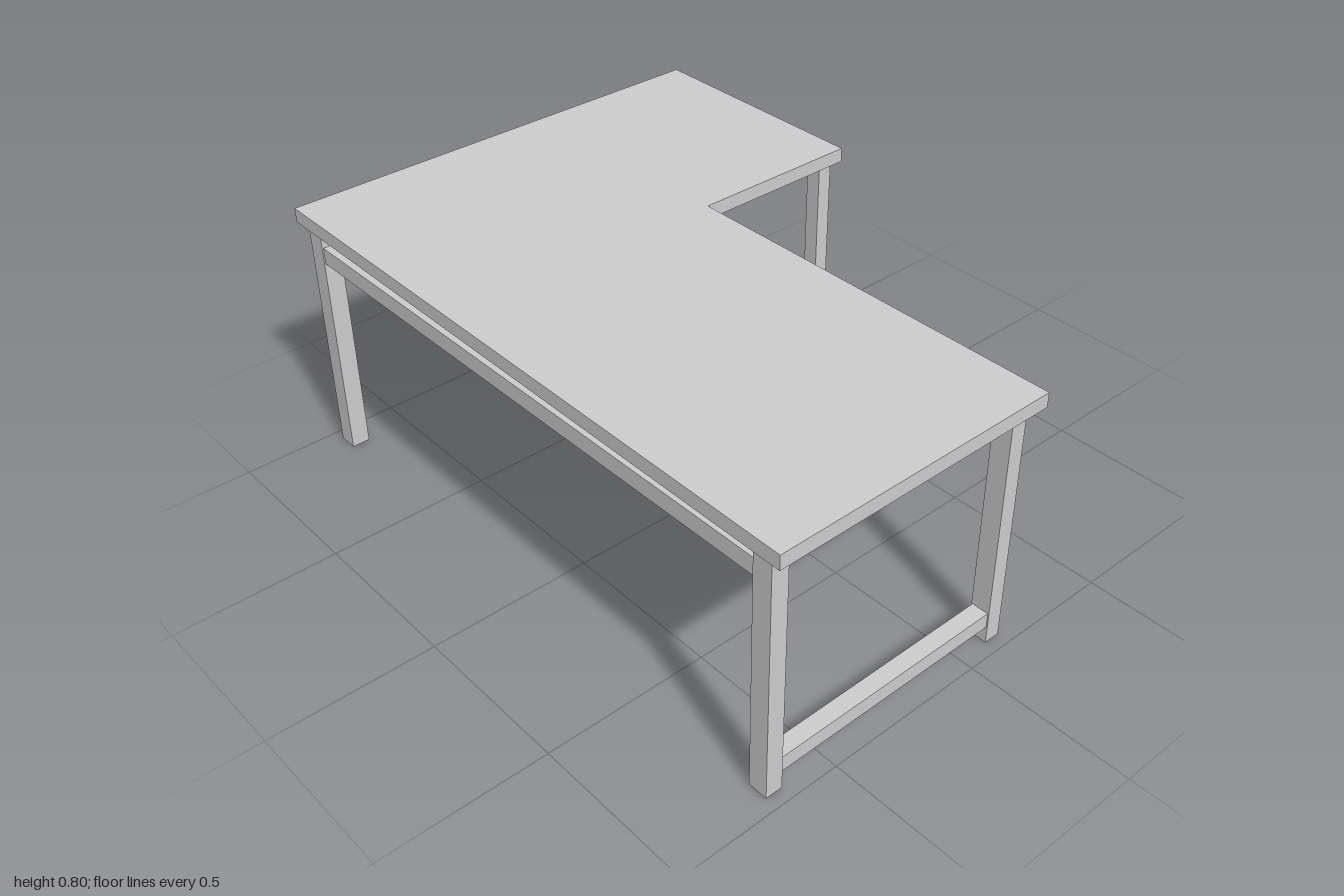
import * as THREE from 'three';

const material = new THREE.MeshStandardMaterial({ color: 0xcccccc });

// Box given by its minimum and maximum corners
function bar(name, x0, x1, y0, y1, z0, z1) {
  const mesh = new THREE.Mesh(new THREE.BoxGeometry(x1 - x0, y1 - y0, z1 - z0), material);
  mesh.position.set((x0 + x1) / 2, (y0 + y1) / 2, (z0 + z1) / 2);
  mesh.name = name;
  return mesh;
}

export function createModel() {
  const desk = new THREE.Group();
  desk.name = 'cornerDesk';
  const underside = 0.756;

  // L-shaped top: outline drawn in x and -z, then laid flat
  const outline = [[-1, 0.713], [1, 0.713], [1, -0.172], [-0.23, -0.172], [-0.23, -0.713], [-1, -0.713]];
  const shape = new THREE.Shape(outline.map(([x, z]) => new THREE.Vector2(x, -z)));
  const topGeometry = new THREE.ExtrudeGeometry(shape, { depth: 0.8 - underside, bevelEnabled: false });
  topGeometry.rotateX(-Math.PI / 2);
  const top = new THREE.Mesh(topGeometry, material);
  top.position.y = underside;
  top.name = 'deskTop';
  desk.add(top);

  // Square legs: x range, z range
  const legs = {
    frontLeftLeg: [0.9, 0.96, 0.645, 0.697],
    frontRightLeg: [-0.962, -0.901, 0.641, 0.697],
    rearLeftLeg: [0.9, 0.96, -0.15, -0.1],
    innerCornerLeg: [-0.31, -0.26, -0.15, -0.1],
    wingOuterLeg: [-0.962, -0.901, -0.697, -0.65],
    wingInnerLeg: [-0.31, -0.26, -0.697, -0.65],
  };
  for (const [name, [x0, x1, z0, z1]] of Object.entries(legs)) {
    desk.add(bar(name, x0, x1, 0, underside, z0, z1));
  }

  // Low stretchers joining the side legs and the wing legs
  desk.add(bar('sideStretcher', 0.904, 0.956, 0.052, 0.1, -0.102, 0.647));
  desk.add(bar('wingStretcher', -0.903, -0.308, 0.035, 0.085, -0.695, -0.652));

  // High front rail, rising slightly towards the left
  const rail = bar('frontRail', -0.903, 0.903, 0.658, 0.71, 0.643, 0.693);
  rail.rotation.z = 0.0062;
  desk.add(rail);

  return desk;
}
